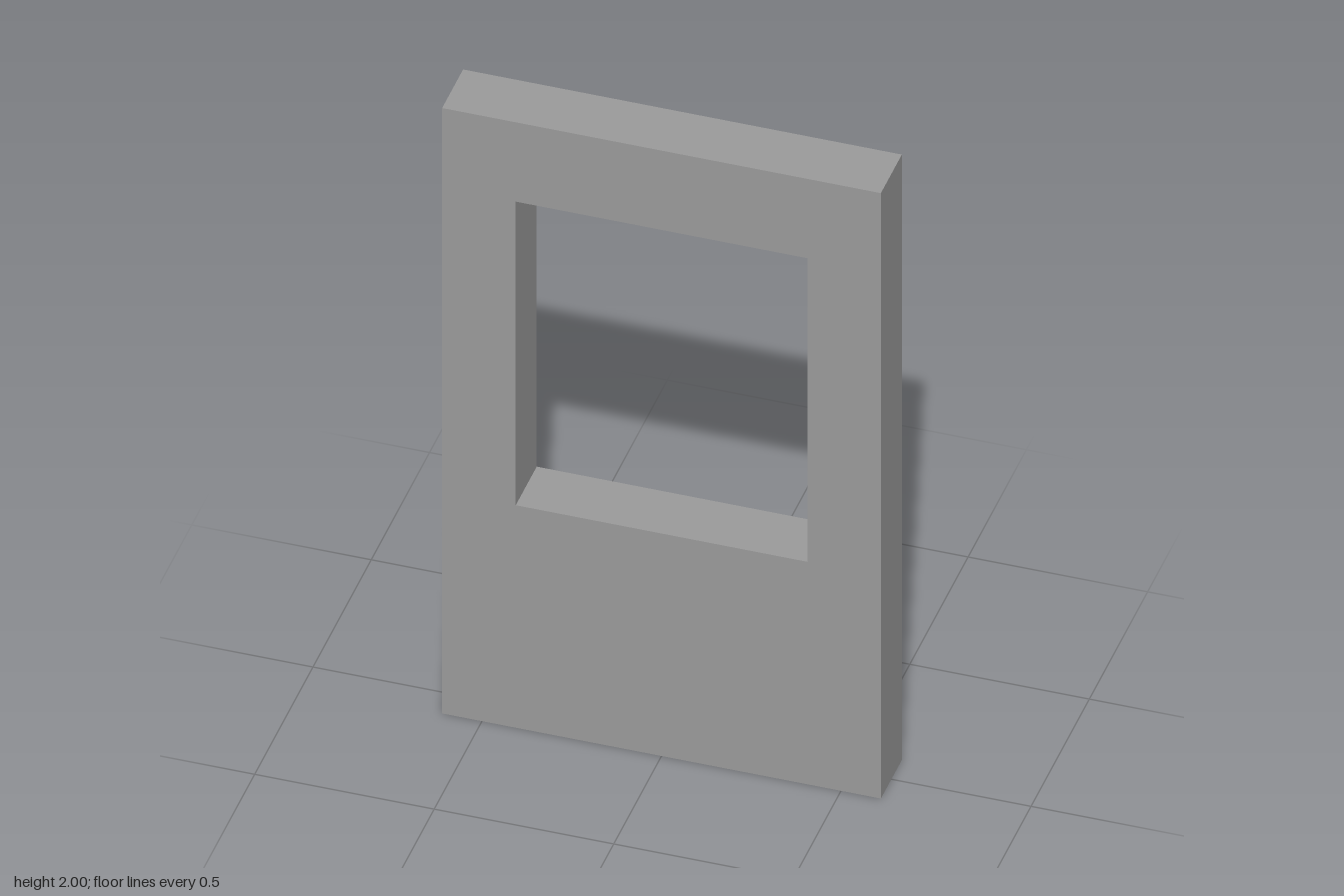
import * as THREE from 'three';

const HALF_WIDTH = 0.611, HEIGHT = 2, DEPTH = 0.18;
const OPENING = { halfWidth: 0.406, bottom: 0.735, top: 1.738 };

// Rectangle outline centred on x = 0
function rectangle(path, halfWidth, bottom, top) {
  path.moveTo(-halfWidth, bottom);
  path.lineTo(halfWidth, bottom);
  path.lineTo(halfWidth, top);
  path.lineTo(-halfWidth, top);
  path.closePath();
  return path;
}

export function createModel() {
  const group = new THREE.Group();
  group.name = 'windowWall';

  // Wall slab with a rectangular window opening
  const outline = rectangle(new THREE.Shape(), HALF_WIDTH, 0, HEIGHT);
  outline.holes.push(rectangle(new THREE.Path(), OPENING.halfWidth, OPENING.bottom, OPENING.top));
  const geometry = new THREE.ExtrudeGeometry(outline, { depth: DEPTH, bevelEnabled: false });
  geometry.translate(0, 0, -DEPTH / 2);

  const wall = new THREE.Mesh(geometry, new THREE.MeshStandardMaterial({ color: 0x9b9b9b, flatShading: true }));
  wall.name = 'wallPanel';
  group.add(wall);
  return group;
}
